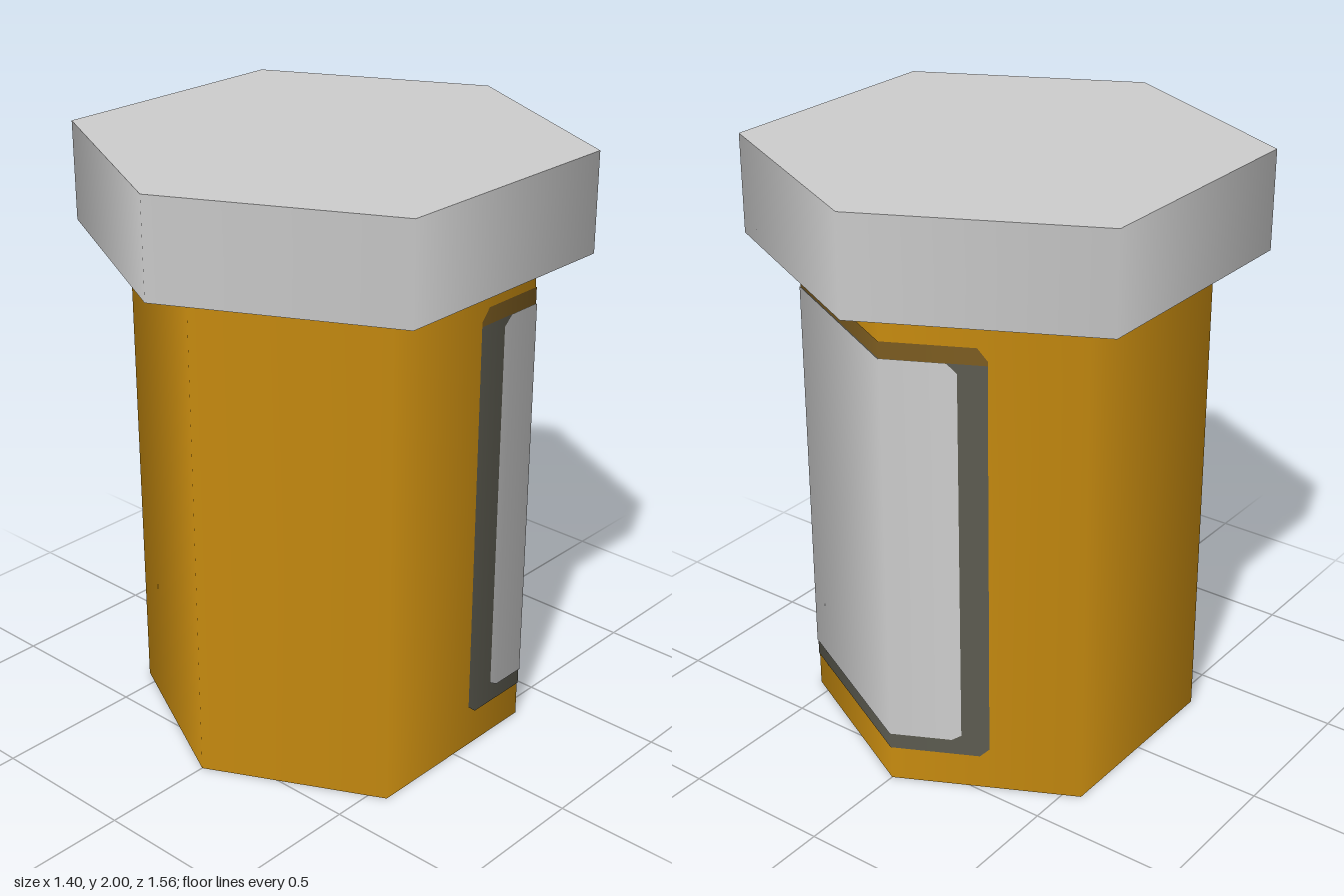
import * as THREE from 'three';

const flat = (name, color) => {
  const m = new THREE.MeshStandardMaterial({ color });
  m.name = name;
  return m;
};

// Slightly stretched hexagon: corners at z = +-r and at (+-0.9r, +-0.545r)
const WIDE = 0.9, CORNER = 0.545;
const BODY_R = 0.617;

// Six-sided prism with smooth sides
function hexPrism(r, y0, y1) {
  const geo = new THREE.CylinderGeometry(r, r, y1 - y0, 6);
  const p = geo.attributes.position;
  for (let i = 0; i < p.count; i++) {
    const x = p.getX(i), z = p.getZ(i);
    if (Math.abs(x) > 0.01) p.setXYZ(i, Math.sign(x) * r * WIDE, p.getY(i), Math.sign(z) * r * CORNER);
  }
  return geo.translate(0, (y0 + y1) / 2, 0);
}

// Point and normal on the body side; u counts faces from the right-back corner
const corners = [[WIDE, CORNER], [WIDE, -CORNER], [0, -1], [-WIDE, -CORNER]];
function onBody(u) {
  const k = Math.min(Math.floor(u + 1), 2), t = u + 1 - k;
  const mix = (a, b) => a + (b - a) * t;
  const [a, b] = [corners[k], corners[k + 1]];
  const angle = (i) => Math.PI / 3 * (i + 1);
  const n = new THREE.Vector3(
    mix(Math.sin(angle(k)), Math.sin(angle(k + 1))), 0,
    mix(Math.cos(angle(k)), Math.cos(angle(k + 1)))).normalize();
  return { x: mix(a[0], b[0]) * BODY_R, z: mix(a[1], b[1]) * BODY_R, n };
}

// Thin panel wrapped round the body, with clipped corners
function wrapPanel(u0, u1, y0, y1, cutBottom, cutTop, lift) {
  const d = 0.05, pos = [], nor = [], idx = [];
  [u0, u0 + d, 0, 1, u1 - d, u1].forEach((u, i) => {
    const { x, z, n } = onBody(u);
    const end = i === 0 || i === 5 ? 1 : 0, s = 1 + lift / BODY_R;
    pos.push(x * s, y0 + end * cutBottom, z * s, x * s, y1 - end * cutTop, z * s);
    nor.push(n.x, 0, n.z, n.x, 0, n.z);
    if (i < 5) {
      const b = i * 2;
      idx.push(b, b + 2, b + 3, b, b + 3, b + 1);
    }
  });
  const geo = new THREE.BufferGeometry();
  geo.setAttribute('position', new THREE.Float32BufferAttribute(pos, 3));
  geo.setAttribute('normal', new THREE.Float32BufferAttribute(nor, 3));
  geo.setIndex(idx);
  return geo;
}

export function createModel() {
  const amber = flat('amber', 0xca8d10);
  const grey = flat('light grey', 0xcdcdcd);
  const dark = flat('dark grey', 0x5c5b50);
  const brown = flat('brown', 0x7c5c20);

  const model = new THREE.Group();
  model.name = 'bottle';
  const add = (name, geo, mat) => {
    const mesh = new THREE.Mesh(geo, mat);
    mesh.name = name;
    model.add(mesh);
  };

  // Bottle and lid
  add('body', hexPrism(BODY_R, 0, 1.676), amber);
  add('cap', hexPrism(0.78, 1.676, 2), grey);

  // Label with its border, brown along the top
  add('labelBorder', wrapPanel(-0.396, 1.52, 0.12, 1.5, 0.03, 0, 0.003), dark);
  add('labelTopBorder', wrapPanel(-0.396, 1.52, 1.5, 1.555, 0, 0.04, 0.003), brown);
  add('label', wrapPanel(-0.235, 1.375, 0.175, 1.5, 0.02, 0.03, 0.006), grey);
  return model;
}
